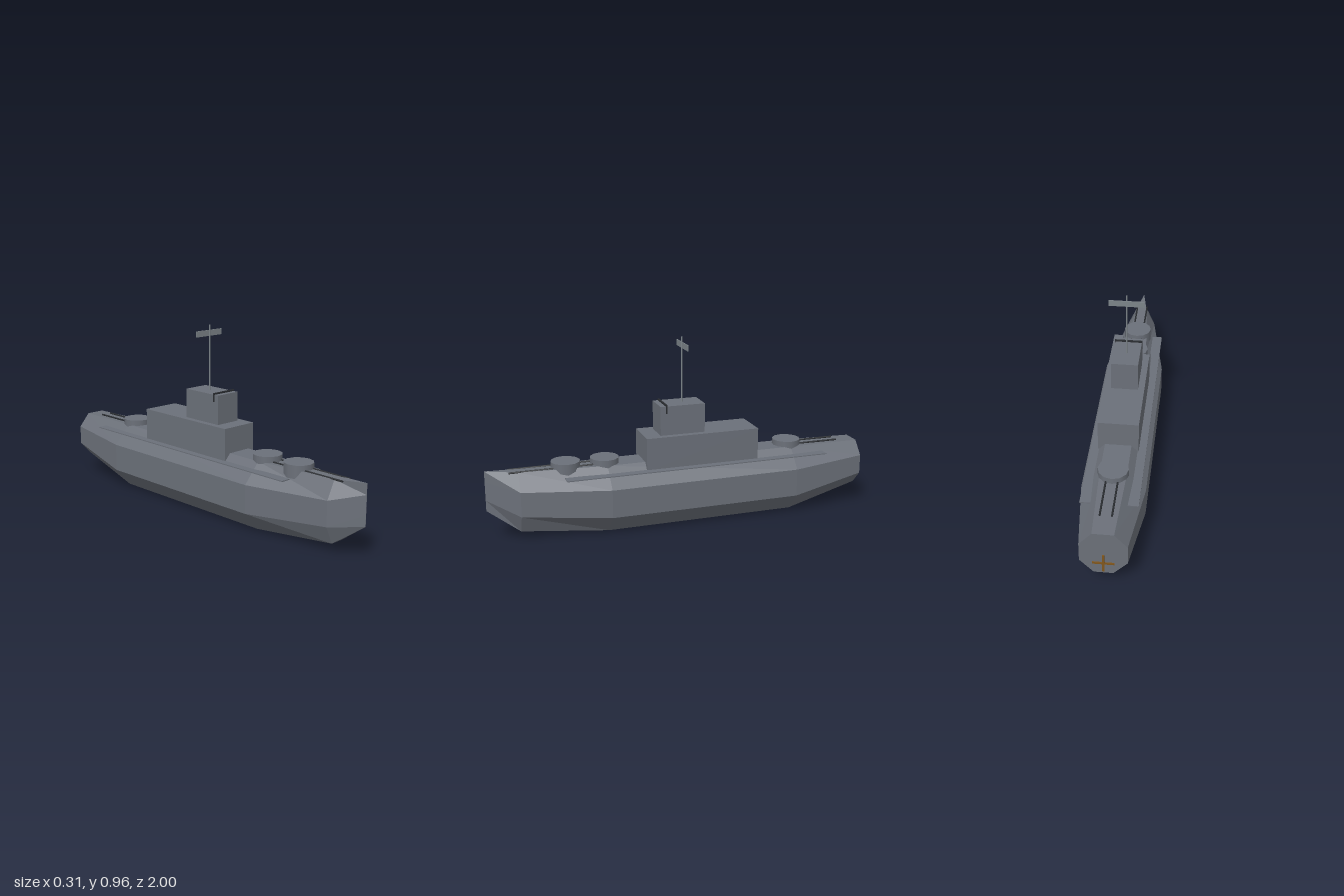
import * as THREE from 'three';

const mat = (name, color, extra = {}) => {
  const m = new THREE.MeshStandardMaterial({ color, ...extra });
  m.name = name;
  return m;
};

// Octagonal hull lofted through stations:
// [z, keel half width, beam half width, deck half width, keel y, lower chine y, upper chine y, deck y]
function hullGeometry() {
  const stations = [
    [-0.995, 0.045, 0.11, 0.05, 0.10, 0.17, 0.27, 0.34],
    [-0.6, 0.065, 0.155, 0.065, 0, 0.10, 0.245, 0.345],
    [0.4, 0.065, 0.155, 0.065, 0, 0.10, 0.245, 0.345],
    [0.84, 0.035, 0.077, 0.03, 0.04, 0.13, 0.257, 0.347],
    [1, 0.0005, 0.001, 0.0005, 0.155, 0.21, 0.305, 0.36],
  ];
  const pos = [], idx = [];
  for (const [z, k, b, d, y0, y1, y2, y3] of stations) {
    const half = [[k, y0], [b, y1], [b, y2], [d, y3]];
    for (const [x, y] of half) pos.push(x, y, z);
    for (const [x, y] of half.reverse()) pos.push(-x, y, z);
  }
  const n = 8, last = (stations.length - 1) * n;
  for (let i = 0; i < stations.length - 1; i++) {
    for (let j = 0; j < n; j++) {
      const a = i * n + j, b = i * n + (j + 1) % n;
      idx.push(a, b, b + n, a, b + n, a + n);
    }
  }
  for (let j = 1; j < n - 1; j++) {
    idx.push(0, j + 1, j, last, last + j, last + j + 1);
  }
  const g = new THREE.BufferGeometry();
  g.setAttribute('position', new THREE.Float32BufferAttribute(pos, 3));
  g.setIndex(idx);
  const flat = g.toNonIndexed();
  flat.computeVertexNormals();
  return flat;
}

export function createModel() {
  const ship = new THREE.Group();
  ship.name = 'warship';
  const grey = mat('hull grey', 0x6b7079, { flatShading: false });
  const light = mat('mast grey', 0x7c8489);
  const dark = mat('gun dark grey', 0x2a2d31);
  const bronze = mat('propeller bronze', 0x80561c);

  const add = (name, geometry, material, x, y, z, parent = ship) => {
    const m = new THREE.Mesh(geometry, material);
    m.name = name;
    m.position.set(x, y, z);
    parent.add(m);
    return m;
  };
  // Box given by its lower and upper limits on each axis
  const box = (name, material, [x0, x1], [y0, y1], [z0, z1]) =>
    add(name, new THREE.BoxGeometry(x1 - x0, y1 - y0, z1 - z0), material,
      (x0 + x1) / 2, (y0 + y1) / 2, (z0 + z1) / 2);

  add('hull', hullGeometry(), grey, 0, 0, 0);

  // Side walkways
  box('leftWalkway', grey, [0.085, 0.137], [0.307, 0.312], [-0.775, 0.62]);
  box('rightWalkway', grey, [-0.137, -0.085], [0.307, 0.312], [-0.775, 0.62]);

  // Superstructure and bridge
  box('superstructure', grey, [-0.1, 0.1], [0.305, 0.475], [-0.395, 0.205]);
  box('bridge', grey, [-0.068, 0.068], [0.475, 0.625], [-0.112, 0.123]);
  box('bridgeBand', dark, [-0.071, 0.071], [0.588, 0.633], [0.088, 0.096]);

  // Mast with radar bar
  add('mast', new THREE.CylinderGeometry(0.004, 0.004, 0.335, 8), light, 0, 0.7925, -0.01);
  box('radar', light, [-0.087, 0.087], [0.902, 0.932], [-0.017, -0.012]);

  // Twin gun turrets: two facing forward, one facing aft
  const turretGeo = new THREE.CylinderGeometry(0.074, 0.074, 0.065, 12);
  const barrelGeo = new THREE.CylinderGeometry(0.005, 0.005, 0.285, 6).rotateX(Math.PI / 2);
  for (const [name, z, dir] of [['foreTurret', 0.6, 1], ['midTurret', 0.4, 1], ['aftTurret', -0.6, -1]]) {
    const turret = new THREE.Group();
    turret.name = name;
    turret.position.set(0, 0, z);
    ship.add(turret);
    add('turretDrum', turretGeo, grey, 0, 0.3415, 0, turret);
    for (const s of [-1, 1]) add('gunBarrel', barrelGeo, dark, s * 0.028, 0.347, dir * 0.1425, turret);
  }

  // Propeller blades on the stern
  box('propellerBladeVertical', bronze, [-0.005, 0.005], [0.112, 0.212], [-1, -0.99]);
  box('propellerBladeHorizontal', bronze, [-0.05, 0.05], [0.157, 0.167], [-1, -0.99]);

  return ship;
}
